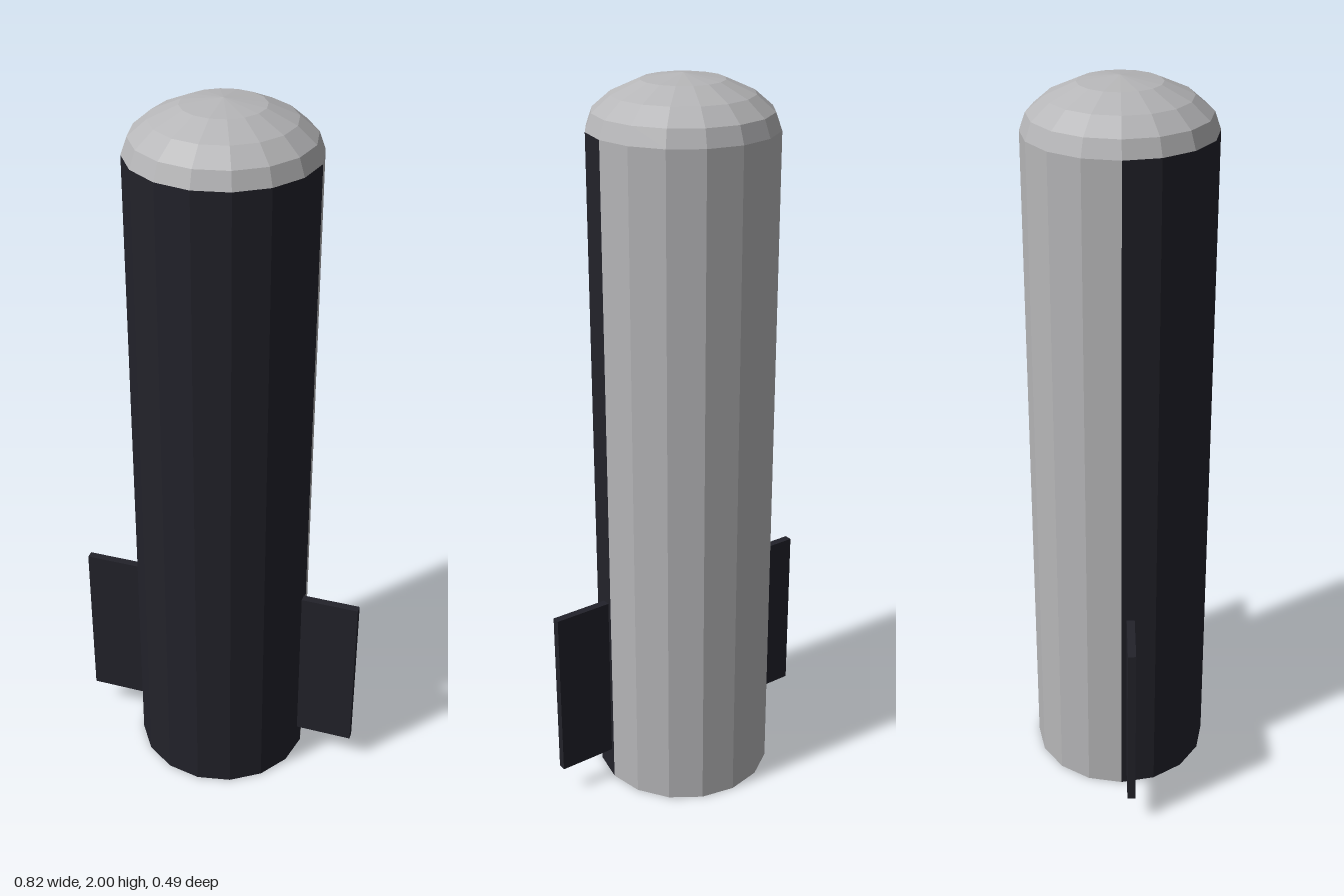
import * as THREE from 'three';

const RADIUS = 0.247;
const SIDES = 16;
const SHOULDER = 1.865; // height where the nose begins
const FLOOR = 0.012; // recessed base plate

export function createModel() {
  const group = new THREE.Group();
  const paint = (name, color) => {
    const m = new THREE.MeshStandardMaterial({ color });
    m.name = name;
    m.flatShading = true;
    return m;
  };
  const dark = paint('dark tiles', 0x22222a);
  const light = paint('light grey', 0xb6b6b8);

  const add = (name, geometry, material, x = 0, y = 0, z = 0) => {
    const mesh = new THREE.Mesh(geometry, material);
    mesh.name = name;
    mesh.position.set(x, y, z);
    group.add(mesh);
    return mesh;
  };

  // Body: dark front half and light back half
  const half = (start) => new THREE.CylinderGeometry(
    RADIUS, RADIUS, SHOULDER, SIDES / 2, 1, true, start, Math.PI);
  add('frontShell', half(-Math.PI / 2), dark, 0, SHOULDER / 2);
  add('backShell', half(Math.PI / 2), light, 0, SHOULDER / 2);

  // Recessed base: inner rim wall and plate, facing inward and down
  const base = [[RADIUS, 0], [RADIUS - 0.002, 0], [RADIUS - 0.002, FLOOR], [0, FLOOR]]
    .map(([r, y]) => new THREE.Vector2(r, y)).reverse();
  add('basePlate', new THREE.LatheGeometry(base, SIDES), light);

  // Faceted rounded nose
  const nose = [[RADIUS, SHOULDER], [0.231, 1.91], [0.183, 1.951], [0.107, 1.985], [0, 2]]
    .map(([r, y]) => new THREE.Vector2(r, y));
  add('noseDome', new THREE.LatheGeometry(nose, SIDES), light);

  // Side fins, set slightly forward of the centre line
  for (const side of [1, -1]) {
    add(side > 0 ? 'leftFin' : 'rightFin',
      new THREE.BoxGeometry(0.163, 0.49, 0.022), dark, side * 0.3265, 0.33, 0.025);
  }

  return group;
}
